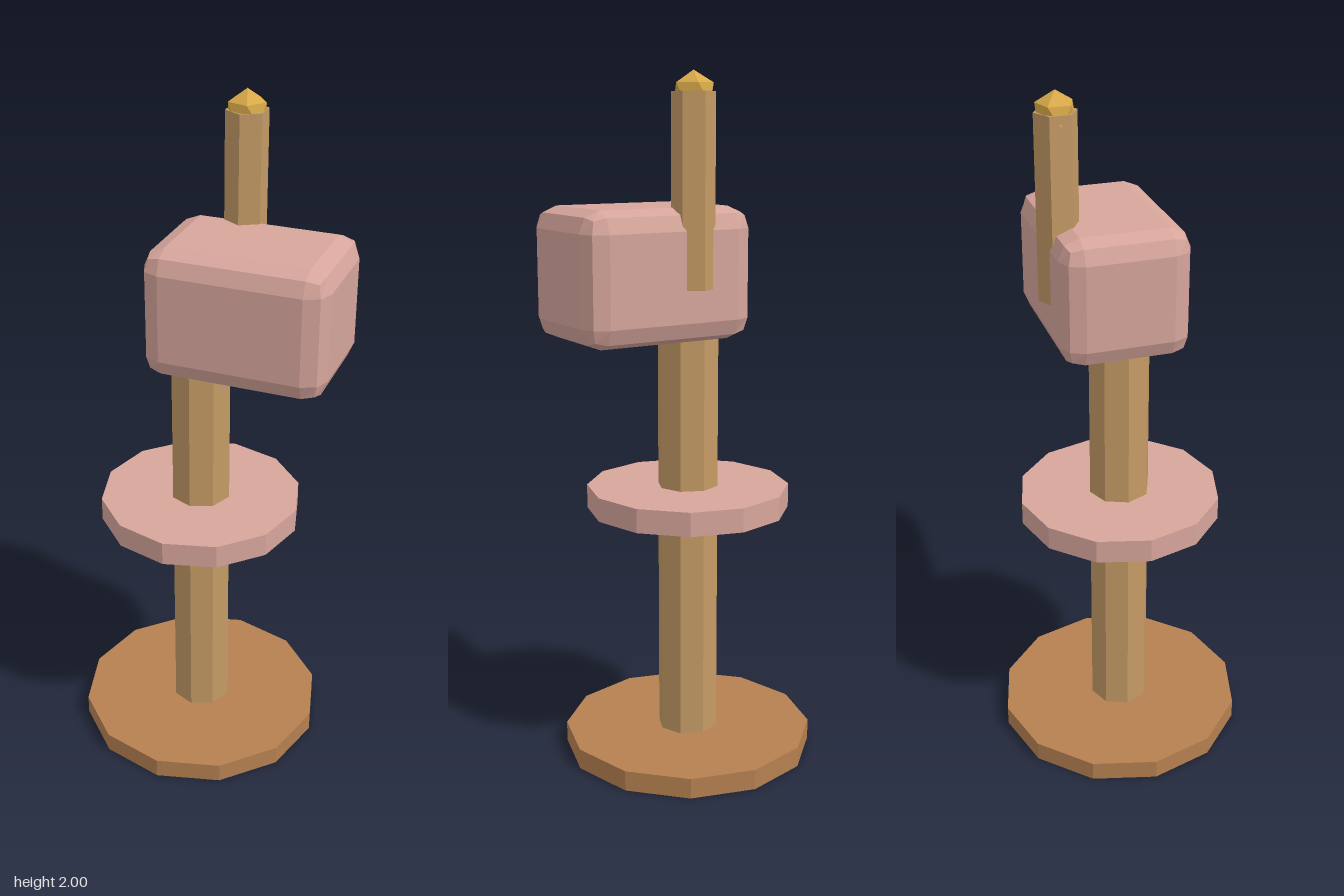
import * as THREE from 'three';
import { RoundedBoxGeometry } from 'three/addons/geometries/RoundedBoxGeometry.js';

const flat = (color) => new THREE.MeshStandardMaterial({ color, flatShading: true });

export function createModel() {
  const group = new THREE.Group();
  const pink = flat(0xd6a59b);
  const brown = flat(0xb58050);
  const wood = flat(0xc49a65);
  const gold = flat(0xd8a848);

  const add = (name, geometry, material, x, y, z) => {
    const mesh = new THREE.Mesh(geometry, material);
    mesh.name = name;
    mesh.position.set(x, y, z);
    group.add(mesh);
  };
  // Upright prism between two heights
  const prism = (name, material, radius, sides, bottom, top, x, z) =>
    add(name, new THREE.CylinderGeometry(radius, radius, top - bottom, sides), material, x, (bottom + top) / 2, z);

  // Base, post and mid platform share one axis
  prism('base', brown, 0.372, 12, 0, 0.06, -0.02, 0);
  prism('post', wood, 0.09, 8, 0.06, 1.3, -0.02, 0);
  prism('platform', pink, 0.298, 12, 0.75, 0.82, -0.02, 0);

  // Bevelled house offset to one side
  add('house', new RoundedBoxGeometry(0.52, 0.37, 0.372, 1, 0.06), pink, 0.13, 1.455, 0);

  // Short rear pole with a faceted finial, one point straight up
  prism('rearPole', wood, 0.06, 6, 1.42, 1.945, 0.055, -0.15);
  const finial = new THREE.IcosahedronGeometry(0.06, 0);
  finial.rotateX(-Math.atan((1 + Math.sqrt(5)) / 2));
  finial.rotateY(Math.PI / 2);
  add('finial', finial, gold, 0.055, 1.94, -0.15);

  return group;
}
